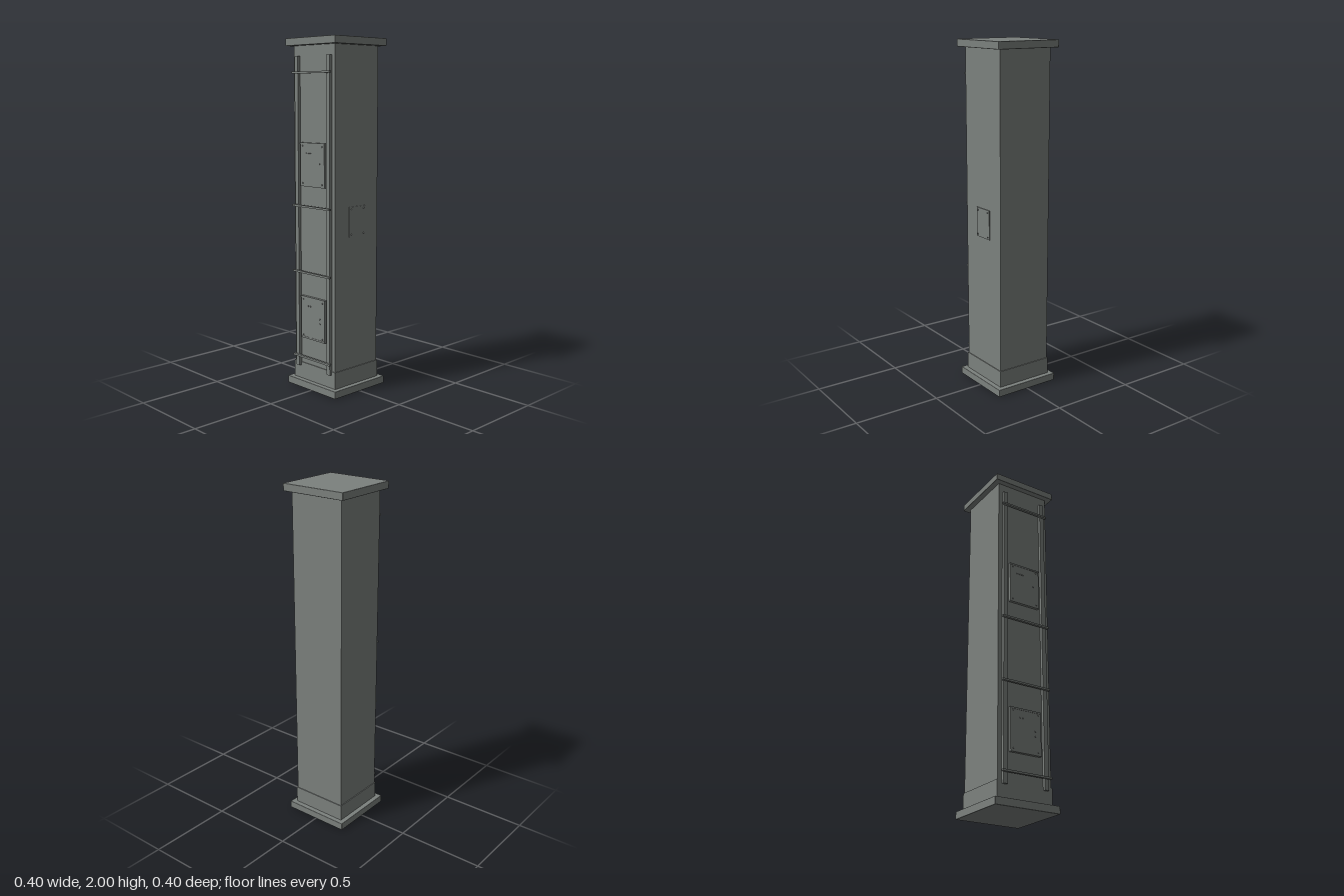
import * as THREE from 'three';
import { RoundedBoxGeometry } from 'three/addons/geometries/RoundedBoxGeometry.js';

const metal = new THREE.MeshStandardMaterial({ color: 0x7c817e });

export function createModel() {
  const model = new THREE.Group();
  model.name = 'utilityPillar';

  const place = (parent, name, geometry, x, y, z) => {
    const mesh = new THREE.Mesh(geometry, metal);
    mesh.name = name;
    mesh.position.set(x, y, z);
    parent.add(mesh);
    return mesh;
  };
  const box = (parent, name, w, h, d, x, y, z) =>
    place(parent, name, new THREE.BoxGeometry(w, h, d), x, y, z);
  // Small round stud pointing towards +z
  const stud = (parent, name, r, depth, x, y, z) => {
    const geometry = new THREE.CylinderGeometry(r, r, depth, 10).rotateX(Math.PI / 2);
    return place(parent, name, geometry, x, y, z + depth / 2);
  };
  // Cover plate with a screw in each corner, its back at z = 0
  const coverPlate = (name, w, h, d, inset) => {
    const group = new THREE.Group();
    group.name = name;
    box(group, 'plate', w, h, d, 0, 0, d / 2);
    for (const sx of [-1, 1]) for (const sy of [-1, 1])
      stud(group, 'screw', 0.004, 0.005, sx * (w / 2 - inset), sy * (h / 2 - inset), d);
    model.add(group);
    return group;
  };

  // Column: base slab, plinth, shaft and cap
  place(model, 'base', new RoundedBoxGeometry(0.4, 0.043, 0.4, 1, 0.003), 0, 0.0215, 0);
  box(model, 'plinth', 0.343, 0.1, 0.343, 0, 0.09, 0);
  box(model, 'shaft', 0.334, 1.93, 0.334, 0, 1.0, 0);
  place(model, 'cap', new RoundedBoxGeometry(0.4, 0.042, 0.4, 1, 0.003), 0, 1.979, 0);

  // Vertical rails and the cross bars over them
  for (const side of [-1, 1])
    box(model, 'rail', 0.027, 1.78, 0.02, side * 0.128, 1.01, 0.175);
  for (const y of [0.185, 0.685, 1.065, 1.81])
    box(model, 'crossBar', 0.306, 0.011, 0.014, 0, y, 0.192);

  // Two front hatches
  const upper = coverPlate('upperHatch', 0.195, 0.245, 0.016, 0.018);
  upper.position.set(0, 1.3, 0.167);
  for (const x of [-0.05, -0.036, -0.024, -0.012])
    box(upper, 'ventSlot', 0.008, 0.005, 0.004, x, 0.065, 0.018);
  stud(upper, 'lock', 0.005, 0.005, 0.06, 0.01, 0.016);

  const lower = coverPlate('lowerHatch', 0.195, 0.245, 0.016, 0.018);
  lower.position.set(0, 0.42, 0.167);
  for (const x of [-0.037, -0.018]) stud(lower, 'indicator', 0.004, 0.005, x, 0.07, 0.016);
  for (const y of [0.01, -0.018]) stud(lower, 'lock', 0.004, 0.005, 0.06, y, 0.016);

  // Thin lips along the hatch edges
  box(upper, 'topLip', 0.195, 0.01, 0.018, 0, 0.1185, 0.009);
  box(lower, 'topLip', 0.195, 0.01, 0.018, 0, 0.1185, 0.009);
  box(lower, 'bottomLip', 0.195, 0.01, 0.018, 0, -0.1185, 0.009);

  // Small cover on the left side
  const side = coverPlate('sideCover', 0.125, 0.17, 0.005, 0.014);
  side.rotation.y = Math.PI / 2;
  side.position.set(0.167, 0.985, -0.003);

  return model;
}
